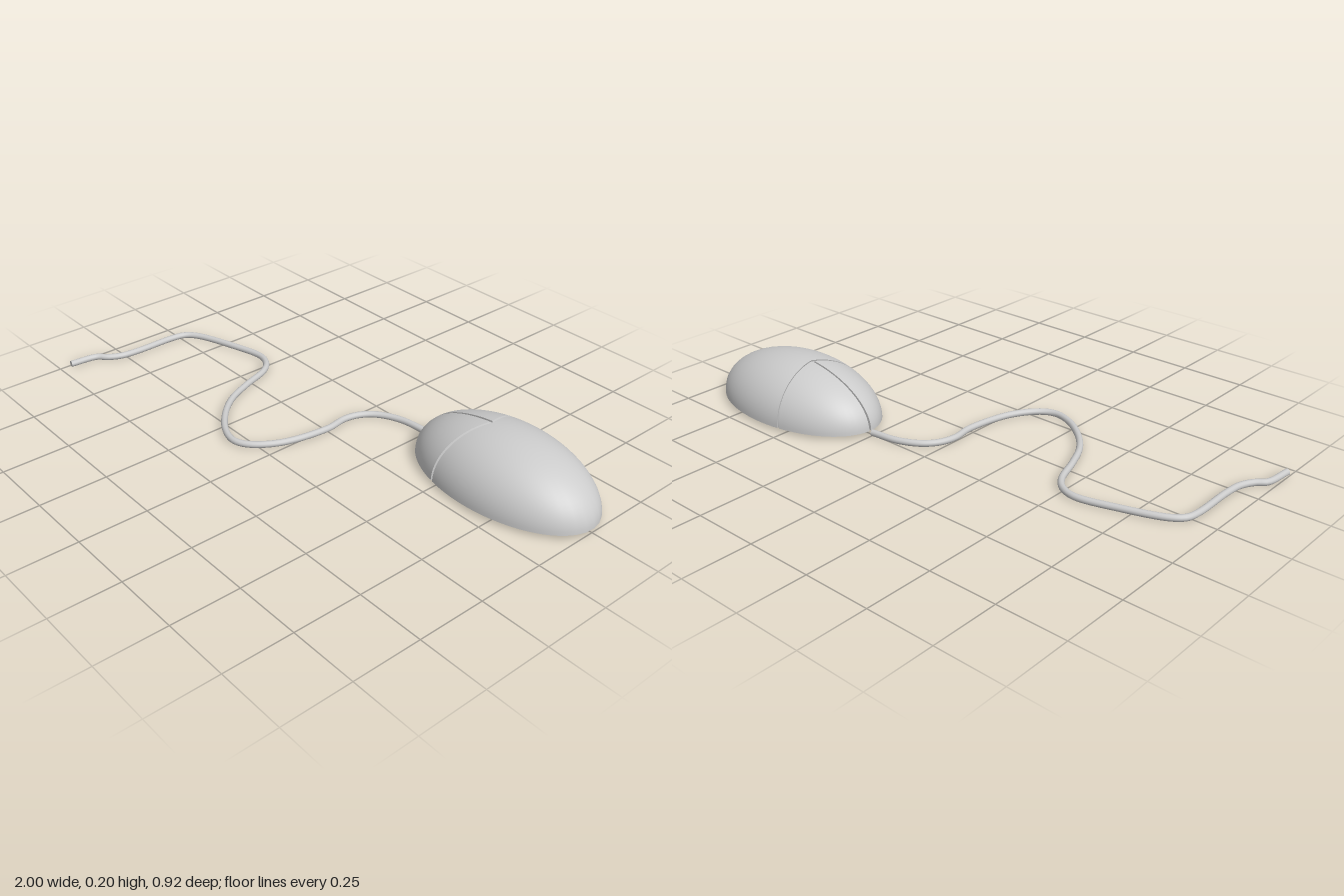
import * as THREE from 'three';

const grey = new THREE.MeshStandardMaterial({ color: 0xcccccc });
const greyDouble = new THREE.MeshStandardMaterial({ color: 0xcccccc, side: THREE.DoubleSide });

// Body ellipsoid: centre and half sizes
const C = new THREE.Vector3(0.633, 0.012, -0.25);
const R = new THREE.Vector3(0.367, 0.191, 0.215);
const INNER = 0.97;      // floor of the grooves, relative to the shell
const GROOVE = 0.009;    // groove width
const hub = new THREE.Vector2(0.56, -0.25); // where the grooves meet (x, z)

function add(group, name, geometry, material = grey) {
  const mesh = new THREE.Mesh(geometry, material);
  mesh.name = name;
  group.add(mesh);
  return mesh;
}

// Smooth grid surface from a function of u and v
function gridSurface(fn, nu, nv) {
  const pos = [], idx = [];
  for (let i = 0; i <= nu; i++)
    for (let j = 0; j <= nv; j++) pos.push(...fn(i / nu, j / nv).toArray());
  for (let i = 0; i < nu; i++)
    for (let j = 0; j < nv; j++) {
      const a = i * (nv + 1) + j, b = a + nv + 1;
      idx.push(a, b + 1, a + 1, a, b, b + 1);
    }
  const g = new THREE.BufferGeometry();
  g.setAttribute('position', new THREE.Float32BufferAttribute(pos, 3));
  g.setIndex(idx);
  g.computeVertexNormals();
  return g;
}

// Point on the dome, a share v of the way from apex to rim at a plan angle
function domePoint(apex, angle, v) {
  const dx = Math.cos(angle), dz = Math.sin(angle);
  const px = (apex.x - C.x) / R.x, pz = (apex.y - C.z) / R.z;
  const ex = dx / R.x, ez = dz / R.z;
  const a = ex * ex + ez * ez, b = px * ex + pz * ez, c = px * px + pz * pz - 1;
  const reach = (-b + Math.sqrt(b * b - a * c)) / a;
  const t = reach * Math.sin(v * Math.PI / 2);
  const nx = px + ex * t, nz = pz + ez * t;
  const ny = Math.sqrt(Math.max(0, 1 - nx * nx - nz * nz));
  return new THREE.Vector3(nx * R.x, ny * R.y, nz * R.z).add(C);
}

// Shell panel between two grooves, with walls down to the groove floor
function panel(name, from, to) {
  const group = new THREE.Group();
  group.name = name;
  const half = (to - from) / 2, mid = from + half;
  const shift = GROOVE / 2 / Math.sin(half);
  const apex = new THREE.Vector2(Math.cos(mid), Math.sin(mid)).multiplyScalar(shift).add(hub);
  add(group, name + 'Surface', gridSurface(
    (u, v) => domePoint(apex, from + (to - from) * u, v), Math.ceil((to - from) * 12), 24));
  for (const angle of [from, to])
    add(group, name + 'Wall', gridSurface(
      (u, v) => domePoint(apex, angle, v).sub(C).multiplyScalar(1 - (1 - INNER) * u).add(C), 1, 24), greyDouble);
  return group;
}

export function createModel() {
  const model = new THREE.Group();

  // Mouse body: three panels over a slightly smaller dome
  const body = new THREE.Group();
  body.name = 'mouseBody';
  model.add(body);
  const rad = THREE.MathUtils.degToRad;
  body.add(panel('leftButton', rad(111), rad(180)));
  body.add(panel('rightButton', rad(180), rad(260.5)));
  body.add(panel('palmRest', rad(260.5), rad(471)));

  const core = add(body, 'grooveFloor', new THREE.SphereGeometry(INNER, 64, 20, 0, Math.PI * 2, 0, Math.PI / 2));
  core.scale.copy(R);
  core.position.copy(C);

  const base = add(body, 'base', new THREE.CircleGeometry(1, 72).rotateX(Math.PI / 2));
  base.scale.set(R.x, 1, R.z);
  base.position.copy(C);

  // Cable lying on the ground
  const path = [
    [0.25, -0.255], [0.14, -0.24], [0.06, -0.2], [0.02, -0.15], [0.005, -0.09], [0.015, 0],
    [-0.02, 0.18], [-0.085, 0.275], [-0.14, 0.3], [-0.215, 0.28], [-0.31, 0.21], [-0.375, 0.13],
    [-0.42, 0.03], [-0.46, -0.08], [-0.5, -0.125], [-0.56, -0.145], [-0.71, -0.11], [-0.86, -0.055],
    [-0.9, -0.02], [-0.912, 0.03], [-0.912, 0.2], [-0.92, 0.27], [-0.945, 0.32], [-0.975, 0.35], [-0.99, 0.457],
  ].map(([x, z]) => new THREE.Vector3(x, 0.012, z));
  const curve = new THREE.CatmullRomCurve3(path);
  const cable = new THREE.Group();
  cable.name = 'cable';
  model.add(cable);
  add(cable, 'cableTube', new THREE.TubeGeometry(curve, 160, 0.012, 12));
  for (const end of [0, 1]) {
    const cap = add(cable, 'cableEnd', new THREE.CircleGeometry(0.012, 12));
    const p = curve.getPointAt(end);
    cap.position.copy(p);
    cap.lookAt(p.clone().addScaledVector(curve.getTangentAt(end), end ? 1 : -1));
  }
  return model;
}
